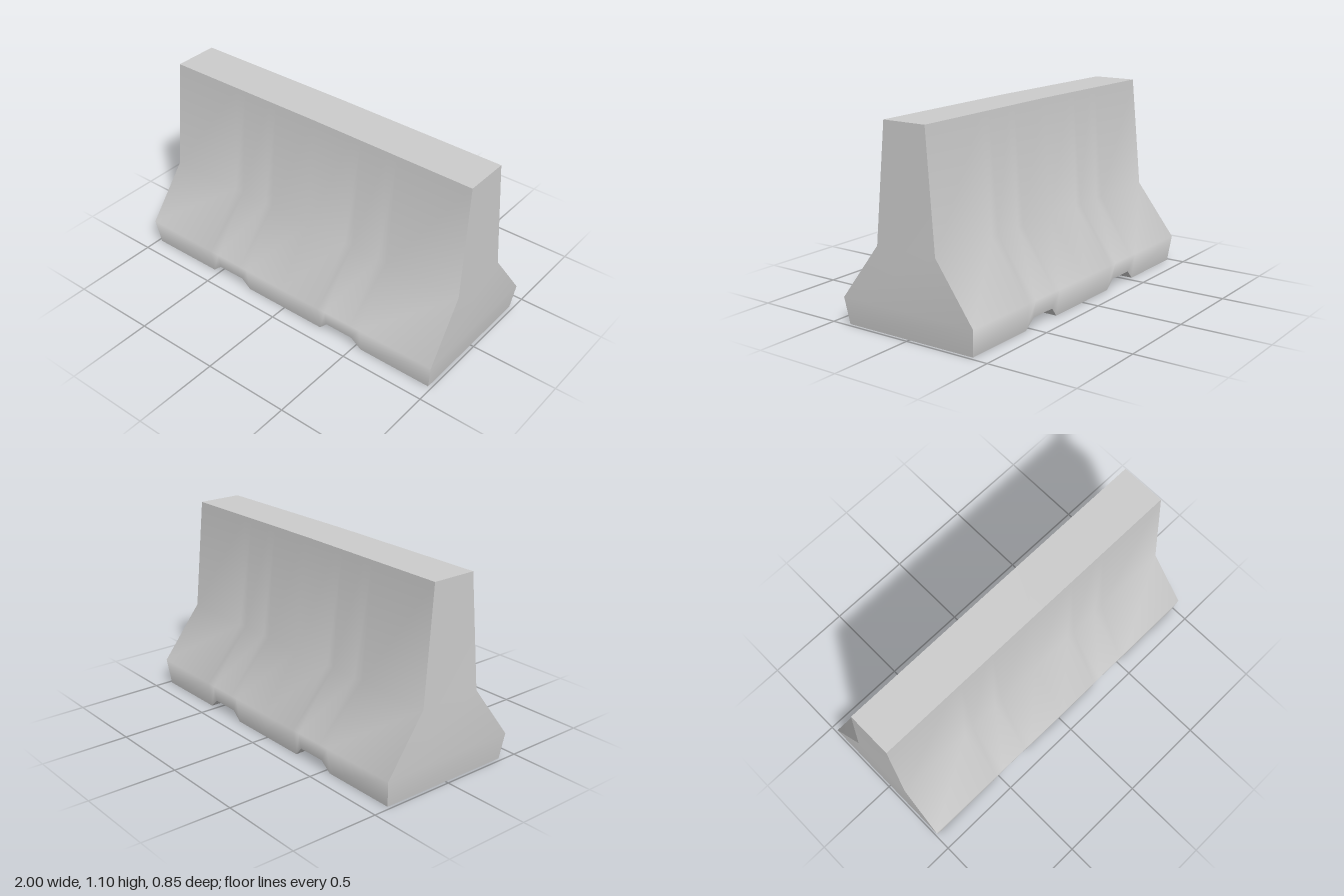
import * as THREE from 'three';

// Half cross-section from foot to top: [half length, height, half depth]
const PROFILE = [[0.98, 0, 0.4], [1, 0.15, 0.418], [0.99, 0.46, 0.186], [0.98, 1.098, 0.129]];
// Stations along the length: [fraction or x, height of the underside]
const STATIONS = [[0, 0], [0.26, 0], [0.31, 0.055], [0.48, 0.055], [0.54, 0], [1, 0]];
const ALL = [...STATIONS.slice(1).reverse().map(([x, y]) => [-x, y]), ...STATIONS];

// Surface through rows of points; it faces (column direction) x (row direction)
function surface(rows, flat = false) {
  const n = rows[0].length, index = [];
  for (let r = 0; r < rows.length - 1; r++) {
    for (let c = 0; c < n - 1; c++) {
      const a = r * n + c, b = a + 1, d = a + n, e = d + 1;
      index.push(a, b, e, a, e, d);
    }
  }
  let g = new THREE.BufferGeometry();
  g.setAttribute('position', new THREE.Float32BufferAttribute(rows.flat(2), 3));
  g.setIndex(index);
  if (flat) g = g.toNonIndexed();
  g.computeVertexNormals();
  return g;
}

// One lengthwise row of points, slightly fuller at mid-length
function rowAt(level) {
  const [half, y, z] = PROFILE[level];
  return ALL.map(([x, lift]) => {
    const px = Math.abs(x) === 1 ? x * half : x;
    const bulge = level === 0 ? 0 : 0.005 * (1 - Math.abs(x));
    if (level === 0) return [px, lift, z + 0.018 * lift / 0.15];
    return [px, y + (level === 3 ? bulge : 0), z + (level === 1 ? bulge : 0)];
  });
}

const mirrorZ = (row) => row.map(([x, y, z]) => [x, y, -z]);

export function createModel() {
  const model = new THREE.Group();
  model.name = 'roadBarrier';
  const concrete = new THREE.MeshStandardMaterial({ color: 0xcccccc });
  concrete.name = 'concrete grey';

  const add = (name, geometry, turned = false) => {
    const mesh = new THREE.Mesh(geometry, concrete);
    mesh.name = name;
    if (turned) mesh.rotation.y = Math.PI;
    model.add(mesh);
  };

  const rows = [0, 1, 2, 3].map(rowAt);

  // Long smooth-shaded walls
  const wall = surface(rows);
  add('frontWall', wall);
  add('backWall', wall, true);

  // Flat end faces
  const end = surface(PROFILE.map(([x, y, z]) => [[x, y, z], [x, y, -z]]));
  add('leftEnd', end);
  add('rightEnd', end, true);

  // Top and the underside with its two lifting slots
  add('top', surface([rows[3], mirrorZ(rows[3])]));
  add('slottedUnderside', surface([mirrorZ(rows[0]), rows[0]], true));
  return model;
}
